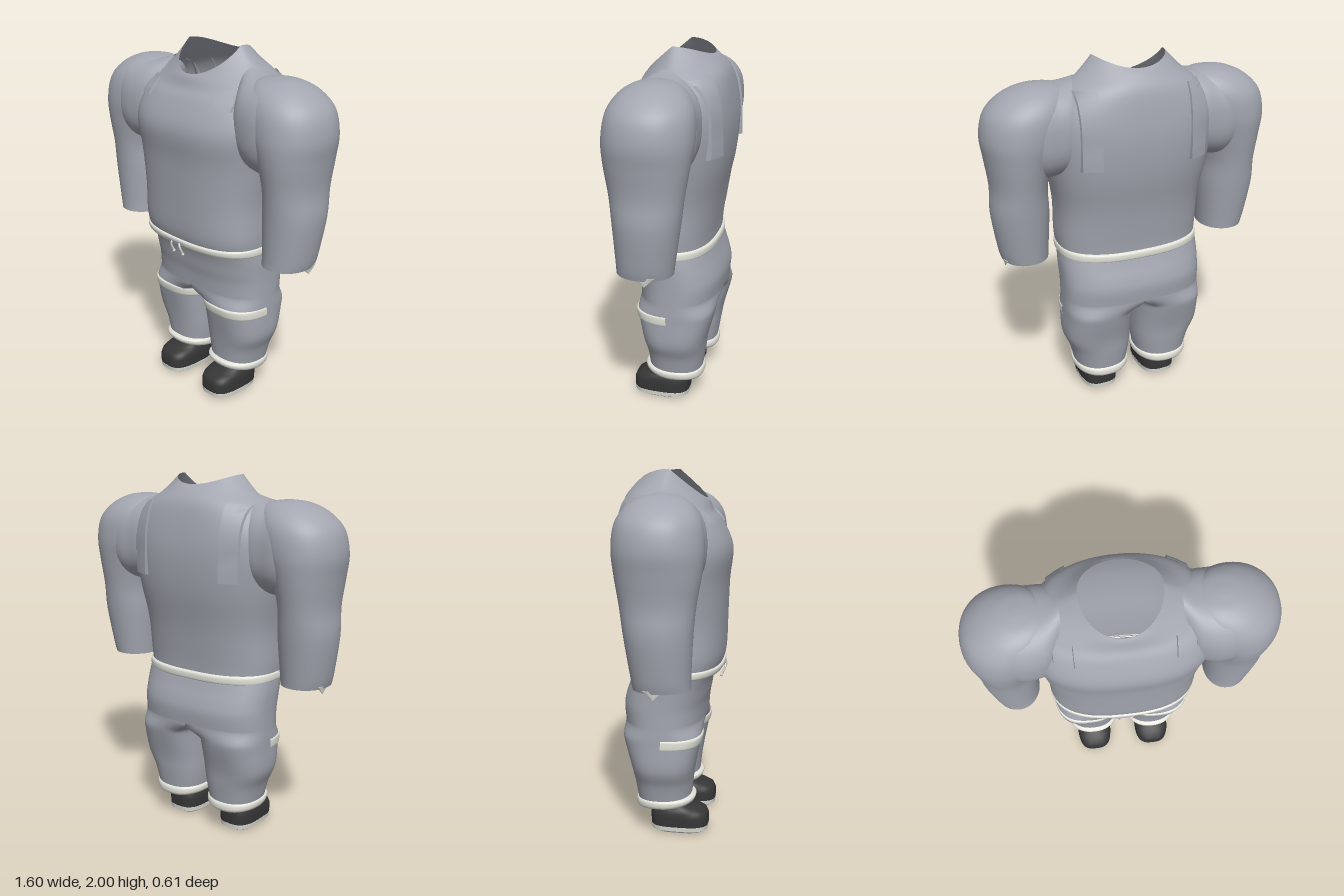
import * as THREE from 'three';
import { toCreasedNormals } from 'three/addons/utils/BufferGeometryUtils.js';

const mat = (name, color) => {
  const m = new THREE.MeshStandardMaterial({ color, side: THREE.DoubleSide });
  m.name = name;
  return m;
};

// Section: [y, centre x, half width, front z, back z, squareness, front lift, back lift]
const fill = (s) => [s[0], s[1], s[2], s[3], s[4], s[5] ?? 2.6, s[6] ?? 0, s[7] ?? 0];

// Interpolated section at index position t
function sectionAt(secs, t, smooth = true) {
  const last = secs.length - 1;
  const i = Math.min(Math.floor(t), last - 1), f = t - i;
  const get = (k) => fill(secs[Math.max(0, Math.min(last, k))]);
  const [a, b, c, d] = [get(i - 1), get(i), get(i + 1), get(i + 2)];
  return b.map((p, k) => {
    if (!smooth) return p + (c[k] - p) * f;
    const m0 = (c[k] - a[k]) / 2, m1 = (d[k] - p) / 2, f2 = f * f, f3 = f2 * f;
    return (2 * f3 - 3 * f2 + 1) * p + (f3 - 2 * f2 + f) * m0 + (3 * f2 - 2 * f3) * c[k] + (f3 - f2) * m1;
  });
}

// Point on a rounded cross-section at an angle
function pointOn([y, cx, rx, zf, zb, n, df, db], a) {
  const c = Math.cos(a), s = Math.sin(a);
  const pw = (v) => Math.sign(v) * Math.pow(Math.abs(v), 2 / n);
  return [cx + Math.max(rx, 0) * pw(c), y + (s > 0 ? df * s : db * s * s), (zf + zb) / 2 + (zf - zb) / 2 * pw(s)];
}

// Surface from a grid of points; columns may wrap round
function gridGeometry(rows, closed) {
  const n = rows[0].length, idx = [];
  for (let i = 0; i < rows.length - 1; i++) {
    for (let j = 0; j < (closed ? n : n - 1); j++) {
      const k = (j + 1) % n;
      const a = i * n + j, b = i * n + k, c = a + n, d = b + n;
      idx.push(a, c, b, b, c, d);
    }
  }
  const g = new THREE.BufferGeometry();
  g.setAttribute('position', new THREE.Float32BufferAttribute(rows.flat(2), 3));
  g.setIndex(idx);
  g.computeVertexNormals();
  return g;
}

// Loft through sections, listed from bottom to top
function loft(secs, { side = 1, smooth = true, from = 0, to = Math.PI * 2, seg = 48, point = pointOn } = {}) {
  const closed = to - from > 6.28, sub = smooth ? 5 : 1;
  const rows = [];
  for (let i = 0; i <= (secs.length - 1) * sub; i++) {
    const s = sectionAt(secs, i / sub, smooth);
    s[1] *= side;
    const row = [];
    for (let j = 0; j < (closed ? seg : seg + 1); j++) row.push(point(s, from + (to - from) * j / seg));
    rows.push(row);
  }
  return gridGeometry(rows, closed);
}

const TORSO = [
  [0.94, 0, 0.403, 0.262, -0.218], [1.02, 0, 0.41, 0.28, -0.225], [1.2, 0, 0.413, 0.286, -0.25],
  [1.4, 0, 0.445, 0.293, -0.29], [1.58, 0, 0.47, 0.308, -0.305], [1.72, 0, 0.45, 0.25, -0.295, 2.6],
  [1.83, 0, 0.385, 0.205, -0.27, 2.3, -0.05, 0.02], [1.92, 0, 0.28, 0.185, -0.225, 2, -0.09, 0],
  [2.0, 0, 0.2, 0.17, -0.19, 2, -0.15, -0.05],
];
const SLEEVE = [
  [0.93, 0.6, 0.127, 0.165, -0.13, 2.1], [1.0, 0.607, 0.137, 0.165, -0.14, 2.1],
  [1.2, 0.617, 0.155, 0.175, -0.17, 2.1], [1.35, 0.617, 0.15, 0.19, -0.19, 2.1],
  [1.5, 0.61, 0.175, 0.215, -0.215, 2.1], [1.62, 0.59, 0.21, 0.225, -0.23, 2.1],
  [1.74, 0.56, 0.215, 0.21, -0.22, 2.1], [1.82, 0.52, 0.18, 0.165, -0.175, 2.1],
  [1.865, 0.49, 0.12, 0.1, -0.11, 2.1], [1.88, 0.49, 0.045, 0.03, -0.04, 2.1],
  [1.882, 0.49, 0, -0.005, -0.005, 2.1],
];
// Runs sideways: [x, -centre y, half height, front z, back z, squareness]
const SHOULDER = [
  [0.29, -1.67, 0.232, 0.12, -0.15, 2.2], [0.36, -1.645, 0.232, 0.195, -0.21, 2.4],
  [0.45, -1.63, 0.237, 0.222, -0.22, 2.5], [0.53, -1.632, 0.243, 0.222, -0.224, 2.4], [0.6, -1.64, 0.215, 0.2, -0.205, 2.2],
];
const HIPS = [
  [0.65, 0, 0.408, 0.18, -0.268], [0.73, 0, 0.408, 0.187, -0.275], [0.79, 0, 0.409, 0.198, -0.264],
  [0.86, 0, 0.41, 0.21, -0.24], [0.94, 0, 0.405, 0.235, -0.215],
];
const LEG = [
  [0.2, 0.19, 0.153, 0.115, -0.185, 2.3], [0.3, 0.195, 0.172, 0.125, -0.2, 2.4],
  [0.4, 0.212, 0.193, 0.14, -0.215], [0.54, 0.212, 0.196, 0.168, -0.252], [0.6, 0.21, 0.199, 0.175, -0.262],
  [0.65, 0.207, 0.201, 0.18, -0.268],
];
// Turned in at the bottom, so it begins with the inner edge
const CUFF = [
  [0.203, 0.19, 0.14, 0.108, -0.17, 2.3, 0.012, -0.01],
  [0.163, 0.19, 0.148, 0.122, -0.178, 2.3, 0.018, -0.015], [0.175, 0.19, 0.161, 0.137, -0.194, 2.3, 0.018, -0.015],
  [0.2, 0.19, 0.163, 0.137, -0.194, 2.3, 0.012, -0.01], [0.214, 0.19, 0.15, 0.112, -0.18, 2.3, 0.01, -0.01],
];
const THIGH_BAND = [
  [0.528, 0.212, 0.193, 0.164, -0.25], [0.535, 0.212, 0.2, 0.174, -0.255],
  [0.573, 0.211, 0.201, 0.18, -0.258], [0.582, 0.211, 0.194, 0.17, -0.25],
];
const WAISTBAND = [
  [0.908, 0, 0.4, 0.222, -0.222, 2.6, 0, -0.01], [0.918, 0, 0.411, 0.267, -0.232, 2.6, 0, -0.01],
  [0.949, 0, 0.411, 0.277, -0.232, 2.6, 0, -0.01], [0.959, 0, 0.401, 0.262, -0.215, 2.6, 0, -0.01],
];
const SOLE = [
  [0, 0.19, 0, 0.05, 0.05, 3], [0, 0.19, 0.085, 0.185, -0.085, 3],
  [0.014, 0.19, 0.103, 0.208, -0.108, 3], [0.04, 0.19, 0.107, 0.212, -0.112, 3],
];
const SHOE = [
  [0.04, 0.19, 0.106, 0.211, -0.111, 3], [0.09, 0.19, 0.108, 0.211, -0.113, 3],
  [0.118, 0.19, 0.106, 0.2, -0.112, 2.8], [0.138, 0.19, 0.098, 0.165, -0.105, 2.6],
  [0.146, 0.19, 0.09, 0.115, -0.1, 2.4], [0.172, 0.19, 0.087, 0.1, -0.1, 2.4],
];

// Leg section that widens into half of the hip section at the crotch
function legPoint(s, a) {
  const side = Math.sign(s[1]);
  let t = side > 0 ? a : Math.PI - a;
  if (t > Math.PI) t -= Math.PI * 2;
  const w = THREE.MathUtils.smoothstep(s[0], 0.56, 0.65);
  const leg = pointOn([s[0], s[1] * side, ...s.slice(2)], t);
  const edge = Math.PI * 2 / 3;
  const arc = THREE.MathUtils.clamp(t, -edge, edge);
  const half = pointOn(fill(HIPS[0]), arc * 0.75);
  const inward = (Math.abs(t) - edge) / (Math.PI - edge);
  if (inward > 0) half[2] += (-0.045 - half[2]) * inward;
  return [side * (leg[0] + (half[0] - leg[0]) * w), s[0], leg[2] + (half[2] - leg[2]) * w];
}

// Raised strap lying on the torso between two section positions
function strap(side, dir, t0, t1, flare) {
  const rows = [];
  for (let i = 0; i <= 12; i++) {
    const s = sectionAt(TORSO, t0 + (t1 - t0) * i / 12);
    const lift = 0.012 + flare * Math.max(0, 1 - i / 3);
    const cols = [[0.245, -0.005], [0.25, lift], [0.3, lift], [0.345, lift], [0.35, -0.005]];
    const row = cols.map(([x, off]) => {
      const c = Math.pow(Math.min(x / s[2], 0.97), s[5] / 2);
      const p = pointOn(s, dir * Math.acos(c));
      return [p[0] * side, p[1] + (off > 0 ? off * 0.3 : 0), p[2] + off * dir];
    });
    rows.push(side * dir > 0 ? row.reverse() : row);
  }
  return toCreasedNormals(gridGeometry(rows, false), 0.7);
}

export function createModel() {
  const cloth = mat('grey cloth', 0xa3a6b0);
  const trim = mat('off-white trim', 0xe2e2da);
  const dark = mat('dark shoe', 0x363636);
  const model = new THREE.Group();
  const add = (name, geo, material, parent = model) => {
    const m = new THREE.Mesh(geo, material);
    m.name = name;
    parent.add(m);
    return m;
  };

  // Top and trousers
  add('torso', loft(TORSO, { seg: 64 }), cloth);
  add('hips', loft(HIPS, { seg: 64 }), cloth);
  add('waistband', loft(WAISTBAND, { seg: 64 }), trim);
  const knot = add('drawstringKnot', new THREE.SphereGeometry(1, 16, 10), cloth);
  knot.scale.set(0.085, 0.009, 0.012);
  knot.position.set(-0.015, 0.94, 0.272);

  for (const side of [1, -1]) {
    const g = new THREE.Group();
    g.name = side > 0 ? 'leftSide' : 'rightSide';
    model.add(g);

    // Shoulder and sleeve, with a pale lining and a small tab on the hem
    add('shoulder', loft(SHOULDER, { side }).rotateZ(-side * Math.PI / 2), cloth, g);
    add('sleeve', loft(SLEEVE, { side }), cloth, g);
    const lining = SLEEVE.slice(0, 3).map(([y, x, r, f, b, n]) => [y, x, r - 0.006, f - 0.006, b + 0.006, n]);
    add('sleeveLining', loft(lining, { side }), trim, g);
    const tab = add('sleeveTab', new THREE.ConeGeometry(0.03, 0.05, 12), trim, g);
    tab.rotation.x = Math.PI;
    tab.scale.set(0.35, 1, 1.8);
    tab.position.set(side * 0.717, 0.92, -0.01);

    // Straps
    add('backStrap', strap(side, -1, 3.3, 6.2, 0.014), cloth, g);
    add('frontStrap', strap(side, 1, 4.9, 6.1, 0), cloth, g);

    // Leg, thigh band and cuff
    add('trouserLeg', loft(LEG, { side, point: legPoint }), cloth, g);
    const from = side > 0 ? 0.02 : 0;
    add('thighBand', loft(THIGH_BAND, { side, from, to: from + Math.PI - 0.02 }), trim, g);
    add('trouserCuff', loft(CUFF, { side }), trim, g);

    // Shoe
    add('sole', toCreasedNormals(loft(SOLE, { side, smooth: false }), 0.4), trim, g);
    add('shoe', loft(SHOE, { side, smooth: false }), dark, g);
    const insole = add('insole', new THREE.CircleGeometry(1, 24), trim, g);
    insole.rotation.x = -Math.PI / 2;
    insole.scale.set(0.085, 0.1, 1);
    insole.position.set(side * 0.19, 0.12, 0);

    // Drawstring
    const path = new THREE.CatmullRomCurve3([
      new THREE.Vector3(side * 0.025, 0.945, 0.272),
      new THREE.Vector3(side * 0.035, 0.92, 0.282),
      new THREE.Vector3(side * 0.038, 0.87, 0.262),
    ]);
    add('drawstring', new THREE.TubeGeometry(path, 10, 0.006, 8), trim, g);
    add('drawstringEnd', new THREE.SphereGeometry(0.009, 10, 8), trim, g).position.set(side * 0.038, 0.868, 0.261);
  }
  return model;
}
